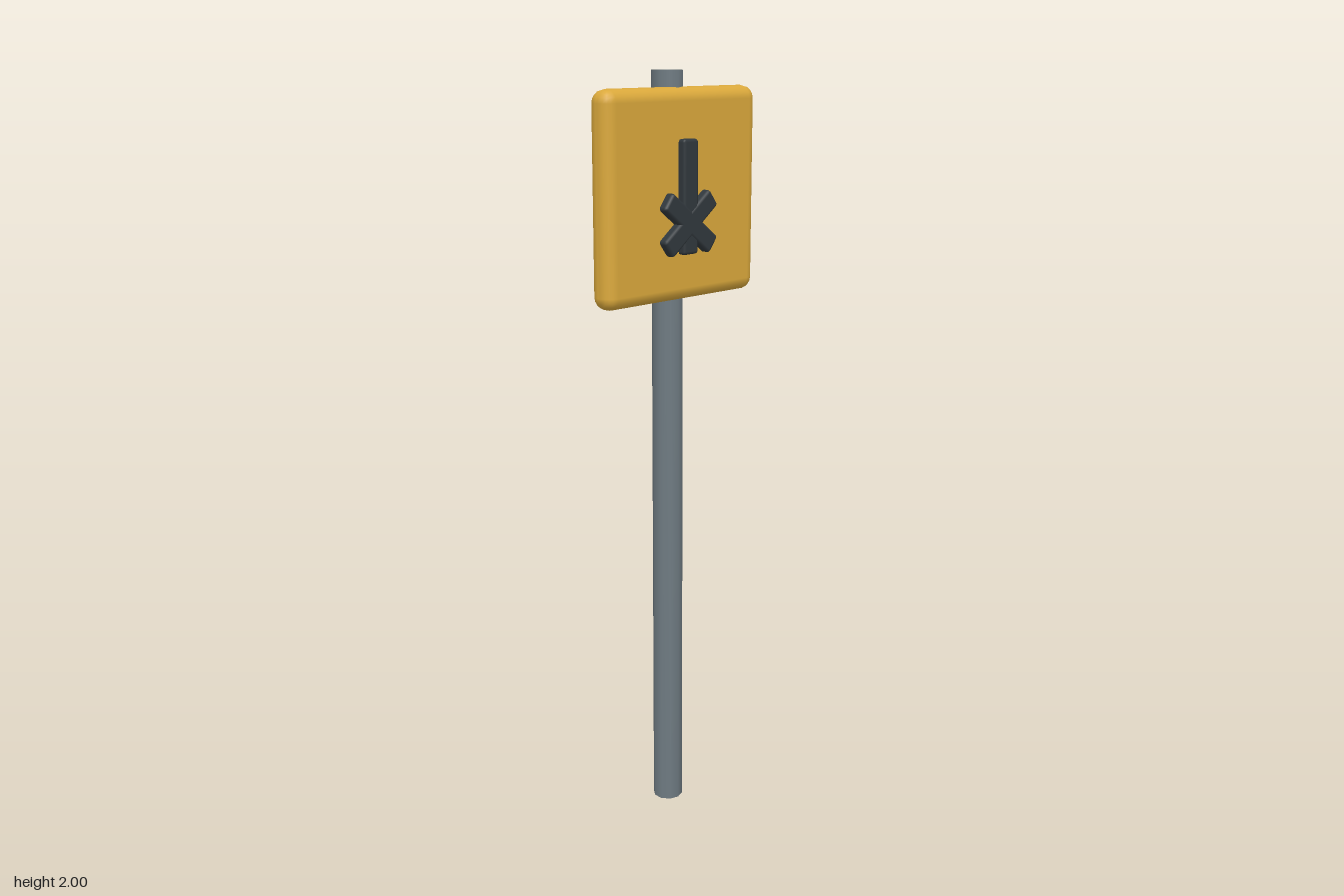
import * as THREE from 'three';
import { mergeVertices } from 'three/addons/utils/BufferGeometryUtils.js';
import { RoundedBoxGeometry } from 'three/addons/geometries/RoundedBoxGeometry.js';

function material(name, color) {
  const m = new THREE.MeshStandardMaterial({ color });
  m.name = name;
  return m;
}

export function createModel() {
  const steel = material('steel grey', 0x6f7b82);
  const yellow = material('sign yellow', 0xdba93c);
  const black = material('symbol black', 0x31383d);
  const model = new THREE.Group();
  model.name = 'signPost';

  const add = (parent, name, geometry, mat, x, y, z, tilt = 0) => {
    const mesh = new THREE.Mesh(geometry, mat);
    mesh.name = name;
    mesh.position.set(x, y, z);
    mesh.rotation.z = tilt;
    parent.add(mesh);
  };

  // Ten-sided post, with normals blended over the end caps
  let post = new THREE.CylinderGeometry(0.0405, 0.0405, 2, 10);
  post.deleteAttribute('uv');
  post.deleteAttribute('normal');
  post = mergeVertices(post);
  post.computeVertexNormals();
  add(model, 'post', post, steel, 0, 1, -0.0265);

  // Square panel with soft edges
  add(model, 'panel', new RoundedBoxGeometry(0.534, 0.53, 0.073, 2, 0.033), yellow, 0, 1.695, 0.0035);

  // Raised symbol: an upright bar and two crossing arms
  const symbol = new THREE.Group();
  symbol.name = 'symbol';
  model.add(symbol);
  add(symbol, 'uprightBar', new RoundedBoxGeometry(0.052, 0.286, 0.03, 1, 0.008), black, 0, 1.693, 0.046);
  for (const side of [-1, 1]) {
    const arm = new RoundedBoxGeometry(0.202, 0.052, 0.03, 1, 0.008);
    add(symbol, side < 0 ? 'fallingArm' : 'risingArm', arm, black, 0, 1.628, 0.048, side * 0.65);
  }
  return model;
}
